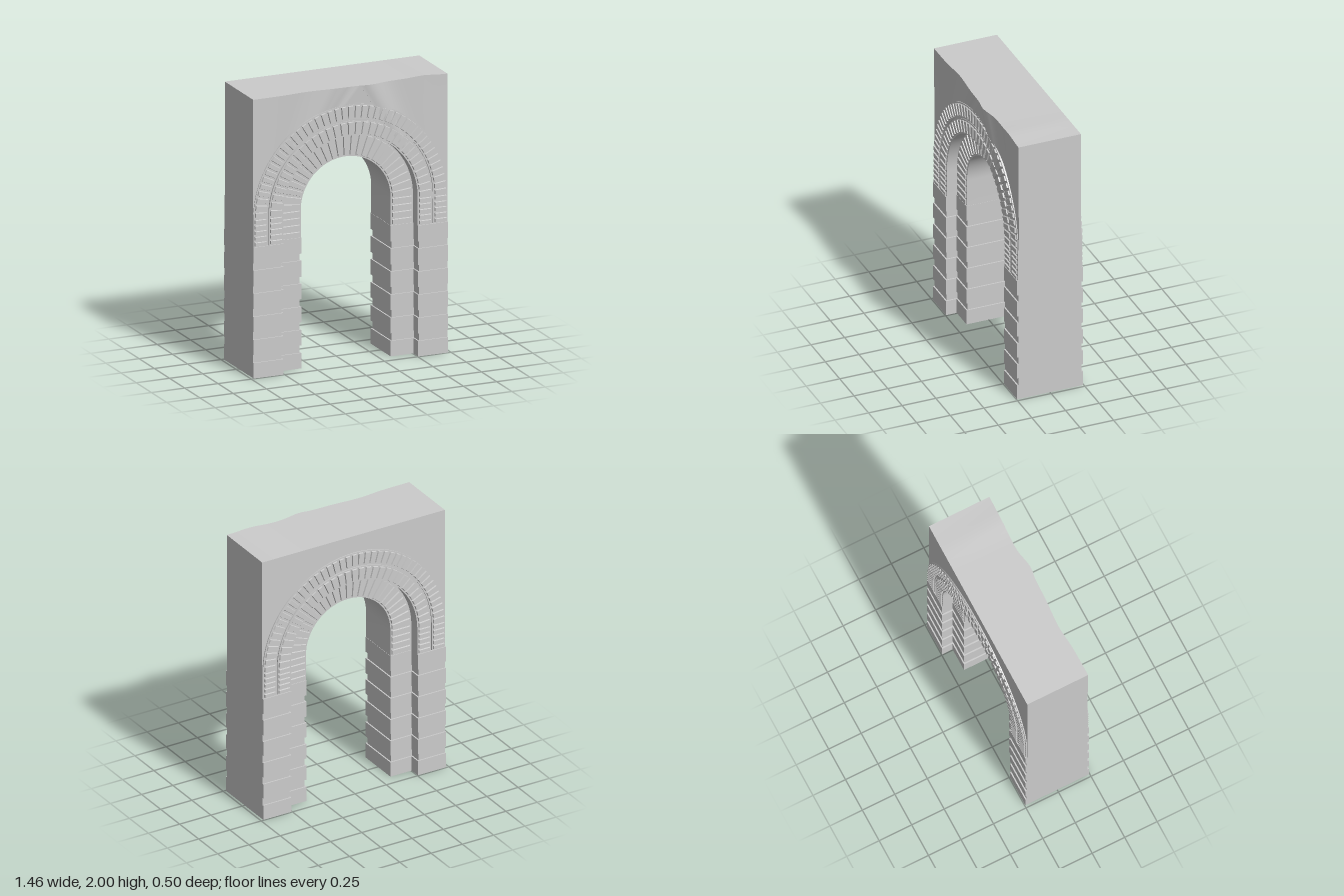
import * as THREE from 'three';
import { mergeGeometries, toCreasedNormals } from 'three/addons/utils/BufferGeometryUtils.js';

const BASE = 0.935;    // top of the piers
const CENTRE = 1.135;  // springing height of the arch
const HALF = 0.73;     // half width of the wall

const grey = new THREE.MeshStandardMaterial({ color: 0xcccccc });

function addMesh(group, geometry, name) {
  const mesh = new THREE.Mesh(geometry, grey);
  mesh.name = name;
  group.add(mesh);
  return mesh;
}

// Stilted arch line from the left foot over to the right foot
function archBack(shape, r) {
  shape.lineTo(-r, BASE);
  shape.lineTo(-r, CENTRE);
  shape.absarc(0, CENTRE, r, Math.PI, 0, true);
  shape.lineTo(r, BASE);
}

// Plain arched band through the full thickness
function archBand(r0, r1, halfDepth) {
  const s = new THREE.Shape();
  s.moveTo(r1, BASE);
  s.lineTo(r1, CENTRE);
  s.absarc(0, CENTRE, r1, 0, Math.PI, false);
  s.lineTo(-r1, BASE);
  archBack(s, r0);
  const g = new THREE.ExtrudeGeometry(s, { depth: 2 * halfDepth, bevelEnabled: false, curveSegments: 48 });
  g.translate(0, 0, -halfDepth);
  return toCreasedNormals(g, 0.5);
}

// Brick with chamfered face; place(r, t) maps radius and distance along the arch to x, y
function brick(r0, r1, t0, t1, z0, z1, chamfer, place) {
  const g = new THREE.BoxGeometry(1, 1, 1);
  const p = g.attributes.position;
  for (let i = 0; i < p.count; i++) {
    const front = p.getZ(i) > 0;
    const c = front ? chamfer : 0;
    const r = p.getX(i) > 0 ? r1 - c : r0 + c;
    const t = p.getY(i) > 0 ? t1 - c : t0 + c;
    const [x, y] = place(r, t);
    p.setXYZ(i, x, y, front ? z1 : z0);
  }
  g.computeVertexNormals();
  return g;
}

// All bricks of one ring on one face: the curve plus both straight feet
function ringBricks(r0, r1, z, count, footCount) {
  const parts = [];
  const mid = (r0 + r1) / 2;
  const gap = 0.005;
  const z0 = z - 0.008, z1 = z + 0.01;
  const step = Math.PI * mid / count;
  for (let i = 0; i < count; i++) {
    const place = (r, t) => [r * Math.cos(t / mid), CENTRE + r * Math.sin(t / mid)];
    parts.push(brick(r0, r1, i * step + gap, (i + 1) * step - gap, z0, z1, 0.005, place));
  }
  const h = (CENTRE - BASE) / footCount;
  for (const side of [1, -1]) {
    for (let i = 0; i < footCount; i++) {
      const y = BASE + (i + 0.5) * h;
      const place = (r, t) => [side * r, y + side * t];
      parts.push(brick(r0, r1, gap - h / 2, h / 2 - gap, z0, z1, 0.005, place));
    }
  }
  return mergeGeometries(parts);
}

// Spandrel wall with a worn, uneven upper front edge
function wallGeometry() {
  const s = new THREE.Shape();
  const wear = new THREE.CatmullRomCurve3([
    [-0.73, 0.238], [-0.5, 0.235], [-0.33, 0.221], [-0.1, 0.234], [0.05, 0.238],
    [0.15, 0.25], [0.3, 0.225], [0.5, 0.229], [0.73, 0.235],
  ].map(([x, z]) => new THREE.Vector3(x, 0, z)));
  const top = wear.getPoints(32);
  s.moveTo(HALF, BASE);
  for (const q of [...top].reverse()) s.lineTo(q.x, 1.99);
  s.lineTo(-HALF, BASE);
  archBack(s, 0.515);
  const g = new THREE.ExtrudeGeometry(s, { depth: 0.46, bevelEnabled: false, curveSegments: 48 });
  g.translate(0, 0, -0.23);
  const p = g.attributes.position;
  for (let i = 0; i < p.count; i++) {
    if (p.getY(i) < 1.98 || p.getZ(i) < 0) continue;
    const x = p.getX(i);
    const near = top.reduce((a, b) => (Math.abs(b.x - x) < Math.abs(a.x - x) ? b : a));
    p.setZ(i, near.z);
    p.setY(i, 1.99 + 0.01 * Math.exp(-(((x - 0.55) / 0.1) ** 2)));
  }
  return toCreasedNormals(g, 0.6);
}

// One course of a stepped pier; inset narrows every face except the outer side
function pierCourse(y0, y1, inset) {
  const zo = 0.245 - inset, zi = 0.165 - inset;
  const xo = 0.505 + inset, xi = 0.335 + inset;
  const plan = [[HALF, -zo], [HALF, zo], [xo, zo], [xo, zi], [xi, zi], [xi, -zi], [xo, -zi], [xo, -zo]];
  const s = new THREE.Shape(plan.map(([x, z]) => new THREE.Vector2(x, z)));
  const g = new THREE.ExtrudeGeometry(s, { depth: y1 - y0, bevelEnabled: false });
  g.rotateX(-Math.PI / 2);
  g.translate(0, y0, 0);
  return g;
}

export function createModel() {
  const model = new THREE.Group();
  model.name = 'archway';

  addMesh(model, wallGeometry(), 'wall');

  // Piers: tall courses alternating with narrow recessed ones
  const levels = [0, 0.11, 0.165, 0.275, 0.33, 0.44, 0.495, 0.605, 0.655, 0.77, 0.82, BASE];
  const courses = [];
  for (let i = 0; i < levels.length - 1; i++) {
    courses.push(pierCourse(levels[i], levels[i + 1], i % 2 ? 0.01 : 0));
  }
  const pier = mergeGeometries(courses);
  addMesh(model, pier, 'leftPier');
  addMesh(model, pier, 'rightPier').rotation.y = Math.PI;

  // Arch rings, the inner one set back, with bricks on both faces
  const rings = [
    { name: 'innerRing', r0: 0.337, r1: 0.517, z: 0.16, count: 25, foot: 4 },
    { name: 'middleRing', r0: 0.505, r1: 0.613, z: 0.238, count: 33, foot: 5 },
    { name: 'outerRing', r0: 0.621, r1: 0.728, z: 0.238, count: 43, foot: 5 },
  ];
  for (const { name, r0, r1, z, count, foot } of rings) {
    const ring = new THREE.Group();
    ring.name = name;
    addMesh(ring, archBand(r0, r1, z), name + 'Band');
    const outer = name === 'innerRing' ? 0.495 : r1 - 0.007;
    const bricks = ringBricks(r0 + 0.008, outer, z, count, foot);
    addMesh(ring, bricks, name + 'FrontBricks');
    addMesh(ring, bricks, name + 'BackBricks').rotation.y = Math.PI;
    model.add(ring);
  }
  return model;
}
